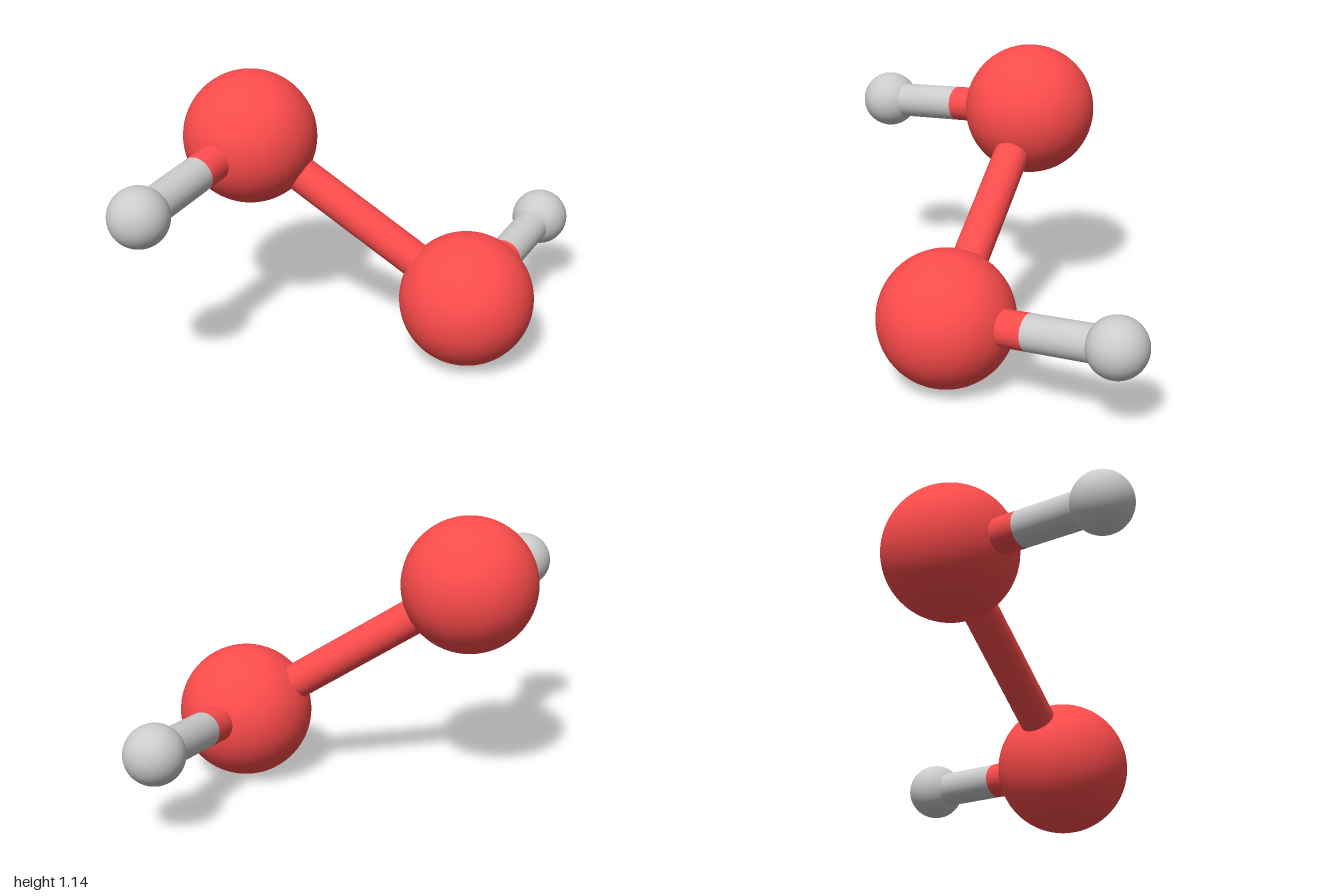
import * as THREE from 'three';

export function createModel() {
  const group = new THREE.Group();
  const red = new THREE.MeshStandardMaterial({ color: 0xff4c4c });
  const grey = new THREE.MeshStandardMaterial({ color: 0xcccccc });

  const ball = (name, pos, radius, material) => {
    const mesh = new THREE.Mesh(new THREE.SphereGeometry(radius, 64, 40), material);
    mesh.position.copy(pos);
    mesh.name = name;
    group.add(mesh);
  };

  // round rod running from point a to point b
  const rod = (name, a, b, material) => {
    const dir = b.clone().sub(a);
    const mesh = new THREE.Mesh(new THREE.CylinderGeometry(0.073, 0.073, dir.length(), 40), material);
    mesh.position.copy(a).add(b).multiplyScalar(0.5);
    mesh.quaternion.setFromUnitVectors(new THREE.Vector3(0, 1, 0), dir.normalize());
    mesh.name = name;
    group.add(mesh);
  };

  // the two halves mirror each other through the middle of the central rod
  const centre = new THREE.Vector3(0, 0.569, 0);
  const large = [];
  for (const [side, s] of [['left', 1], ['right', -1]]) {
    const big = new THREE.Vector3(0.149, -0.295, 0.44).multiplyScalar(s).add(centre);
    const small = new THREE.Vector3(0.881, -0.228, 0.342).multiplyScalar(s).add(centre);
    const middle = big.clone().lerp(small, 0.5);
    ball(side + 'LargeBall', big, 0.273, red);
    ball(side + 'SmallBall', small, 0.119, grey);
    rod(side + 'RodInner', big, middle, red);
    rod(side + 'RodOuter', middle, small, grey);
    large.push(big);
  }

  // rod joining the large balls
  rod('centralRod', large[0], large[1], red);
  return group;
}
